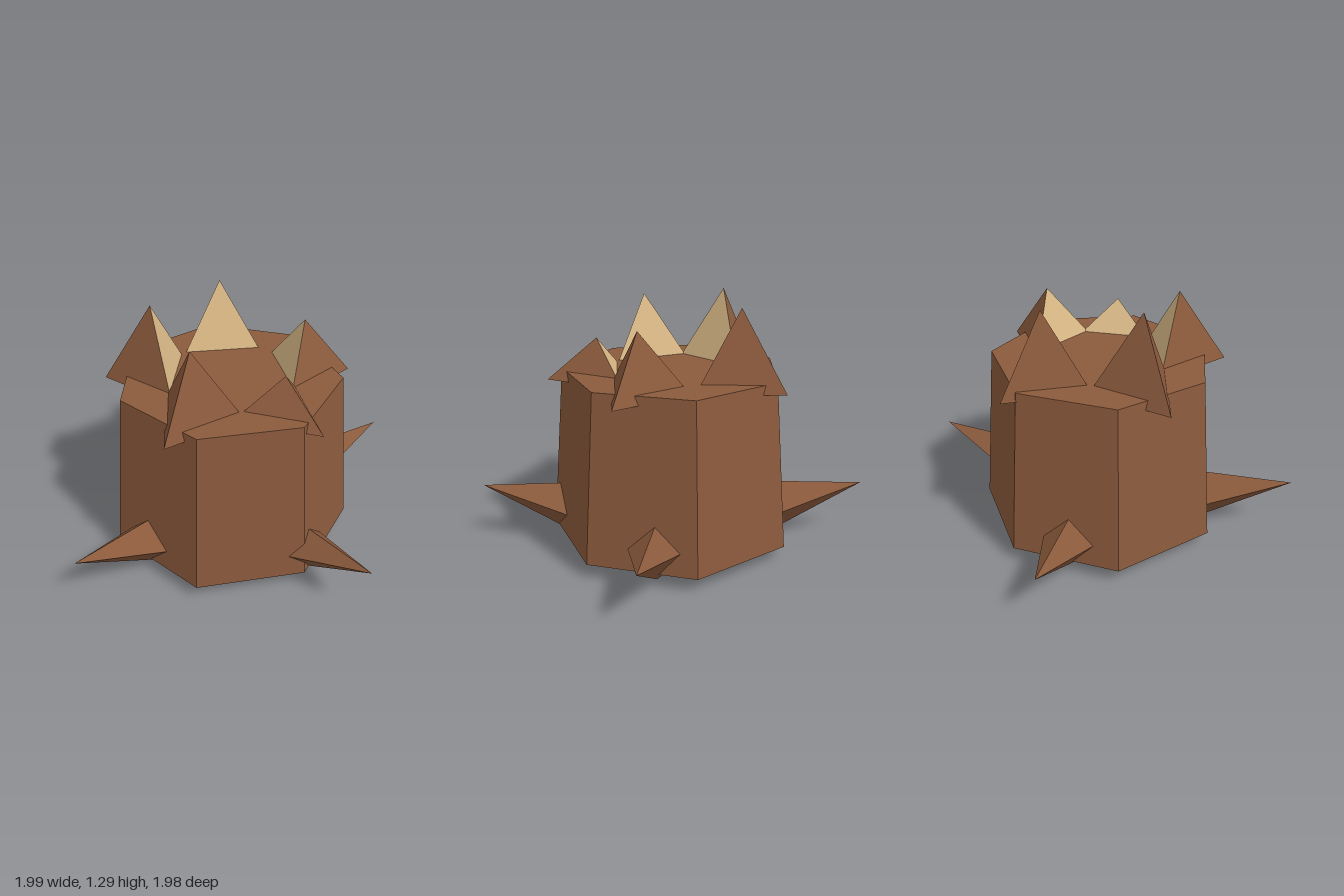
import * as THREE from 'three';

const DEG = Math.PI / 180;

function material(name, color) {
  const m = new THREE.MeshStandardMaterial({ color, flatShading: true });
  m.name = name;
  return m;
}

function part(name, geometry, mat) {
  const mesh = new THREE.Mesh(geometry, mat);
  mesh.name = name;
  return mesh;
}

// Turns a group built along +z towards an angle measured from +x to +z.
function aim(group, degrees) {
  group.rotation.y = Math.PI / 2 - degrees * DEG;
  return group;
}

export function createModel() {
  const bark = material('bark brown', 0x8b5a3c);
  const wood = material('light wood', 0xd9b886);
  const model = new THREE.Group();
  model.name = 'treeStump';

  // Seven-sided tapering trunk with a corner on +x
  const trunk = part('trunk', new THREE.CylinderGeometry(0.565, 0.635, 0.85, 7, 1, false, Math.PI / 2), bark);
  trunk.position.y = 0.51;
  model.add(trunk);

  // Broken splinters on the rim: three-sided spikes, bark outside, wood inside
  const splinters = [[64, 1.26], [132.4, 1.3], [209, 1.28], [293, 1.2], [354, 1.1]];
  const base = 0.89;
  for (const [angle, top] of splinters) {
    const h = top - base;
    const splinter = new THREE.Group();
    splinter.name = 'splinter';
    const outer = part('splinterBark', new THREE.ConeGeometry(0.25, h, 2, 1, false, 240 * DEG, 240 * DEG), bark);
    const inner = part('splinterWood', new THREE.ConeGeometry(0.25, h, 1, 1, true, 120 * DEG, 120 * DEG), wood);
    // A cone needs three segments, so the sides are set on cylinders with a closed tip
    outer.geometry = new THREE.CylinderGeometry(0, 0.25, h, 2, 1, false, 240 * DEG, 240 * DEG);
    inner.geometry = new THREE.CylinderGeometry(0, 0.25, h, 1, 1, true, 120 * DEG, 120 * DEG);
    for (const mesh of [outer, inner]) {
      mesh.position.set(0, base + h / 2, 0.38);
      splinter.add(mesh);
    }
    model.add(aim(splinter, angle));
  }

  // Four roots: four-sided spikes rising slightly towards their tips
  const length = 0.565;
  for (const angle of [83.6, 178.3, 276.4, 355.1]) {
    const root = new THREE.Group();
    root.name = 'root';
    const geometry = new THREE.ConeGeometry(0.162, length, 4);
    geometry.translate(0, length / 2, 0);
    geometry.rotateX(Math.PI / 2 - 0.267);
    const spike = part('rootSpike', geometry, bark);
    spike.position.set(0, 0.166, 0.45);
    root.add(spike);
    model.add(aim(root, angle));
  }

  return model;
}
